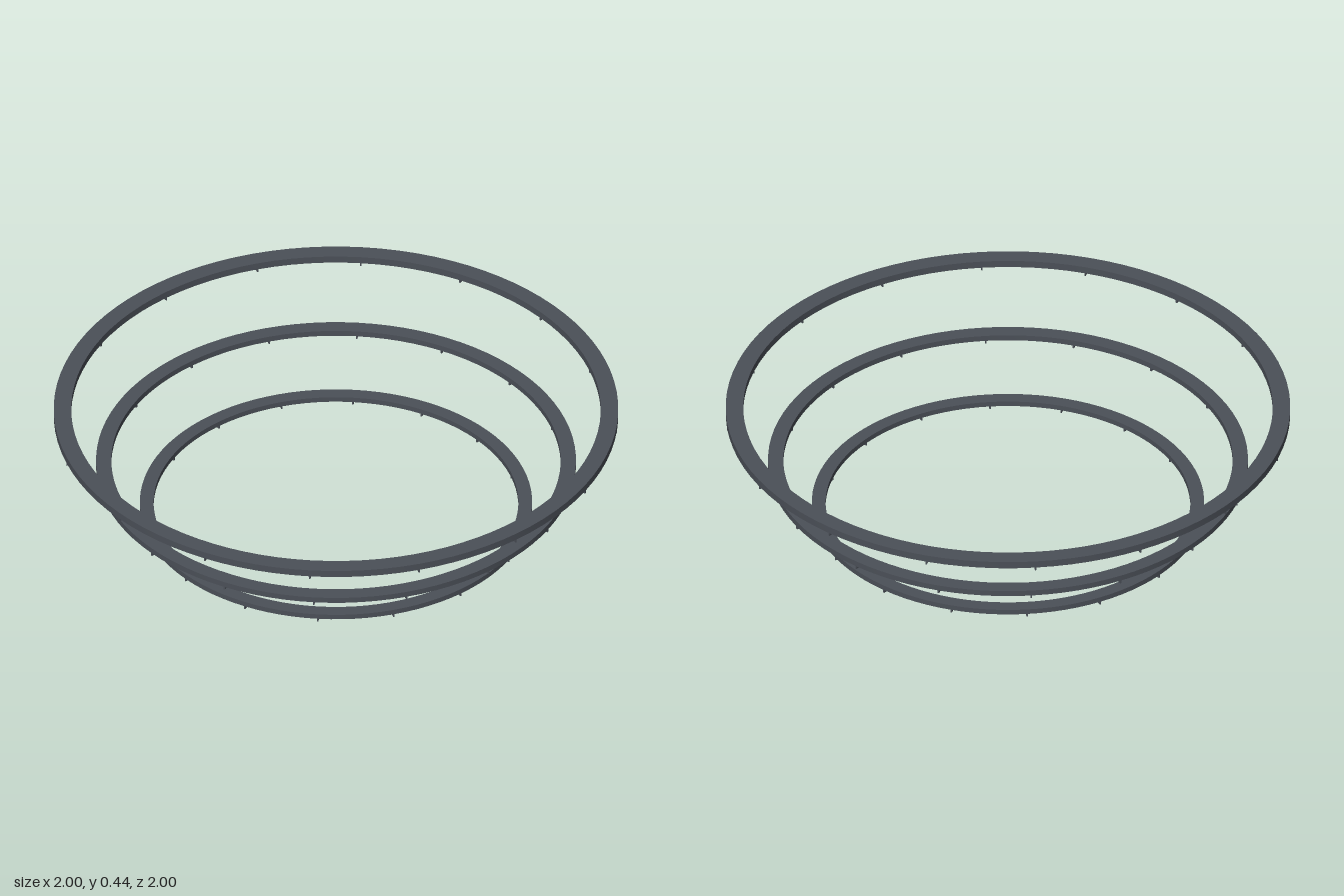
import * as THREE from 'three';
import { toCreasedNormals } from 'three/addons/utils/BufferGeometryUtils.js';

const FINS = 16;
const material = new THREE.MeshStandardMaterial({ color: 0x4b5058 });

// Flat band of rectangular section, turned about the y axis
function makeBand(inner, outer, bottom, top) {
  const profile = [
    [inner, bottom], [outer, bottom], [outer, top], [inner, top], [inner, bottom],
  ].map(([r, y]) => new THREE.Vector2(r, y));
  const geometry = toCreasedNormals(new THREE.LatheGeometry(profile, 96), 0.6);
  return new THREE.Mesh(geometry, material);
}

// Band with thin radial fins hanging below it
function makeRing(name, { inner, outer, foot, bottom, top }) {
  const ring = new THREE.Group();
  ring.name = name;
  const band = makeBand(inner, outer, bottom, top);
  band.name = 'band';
  ring.add(band);

  const overlap = 0.003;
  const height = bottom - foot + overlap;
  const finGeometry = new THREE.BoxGeometry(outer - inner - 0.002, height, 0.005);
  finGeometry.translate((inner + outer) / 2, foot + height / 2, 0);
  for (let i = 0; i < FINS; i++) {
    const fin = new THREE.Mesh(finGeometry, material);
    fin.name = 'fin';
    fin.rotation.y = (i / FINS) * Math.PI * 2;
    ring.add(fin);
  }
  return ring;
}

export function createModel() {
  const model = new THREE.Group();
  model.name = 'tieredRings';
  model.add(
    makeRing('lowerRing', { inner: 0.646, outer: 0.695, foot: 0, bottom: 0.012, top: 0.031 }),
    makeRing('middleRing', { inner: 0.796, outer: 0.85, foot: 0.18, bottom: 0.192, top: 0.213 }),
    makeRing('upperRing', { inner: 0.938, outer: 1, foot: 0.397, bottom: 0.409, top: 0.435 }),
  );
  return model;
}
